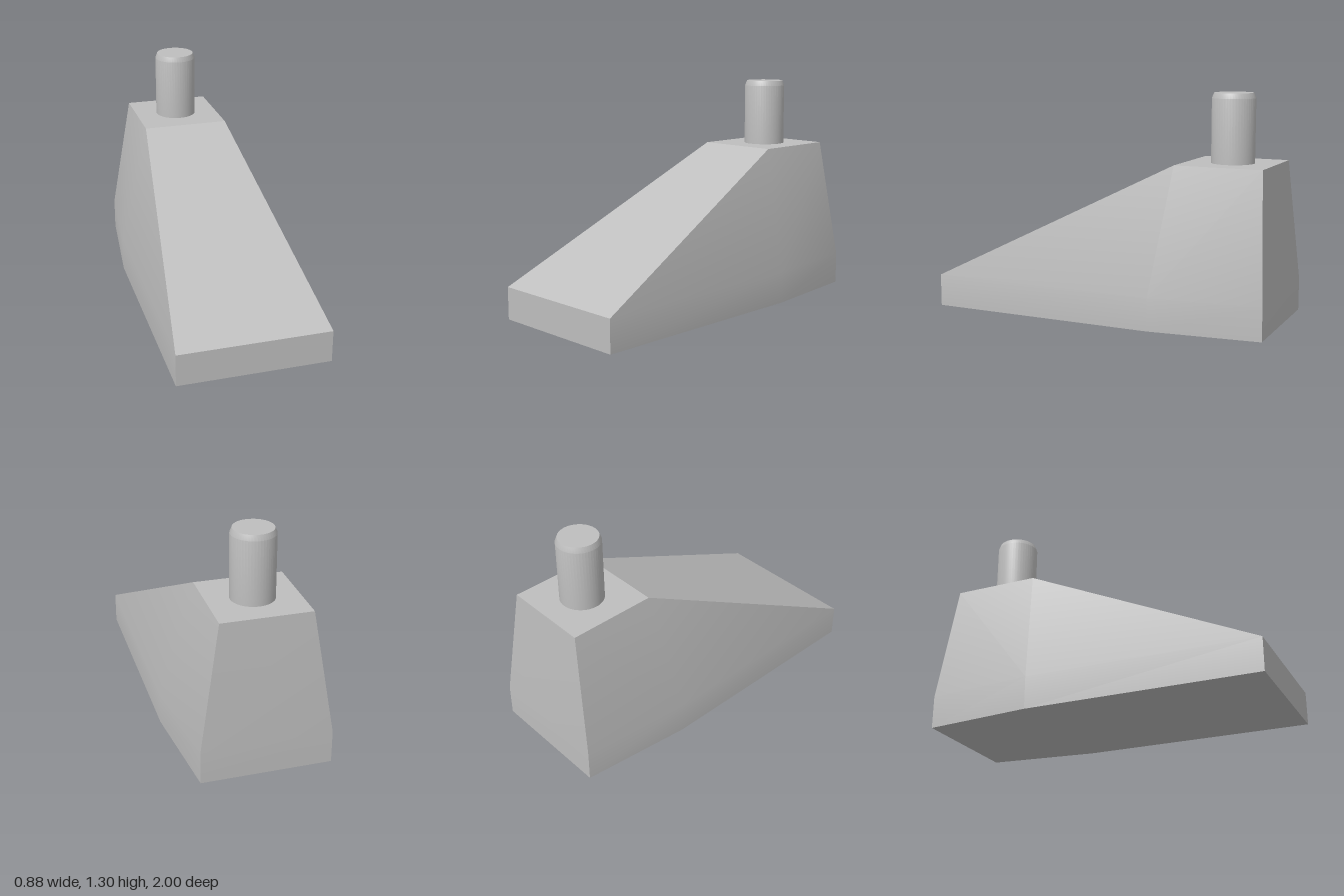
import * as THREE from 'three';
import { toCreasedNormals } from 'three/addons/utils/BufferGeometryUtils.js';

const CREASE = 0.4;

export function createModel() {
  const group = new THREE.Group();
  const grey = new THREE.MeshStandardMaterial({ color: 0xbebebe });
  grey.name = 'light grey';

  // Corners of the +x half: ground outline, shoulder outline, top plate
  const outline = [[0.44, 1], [0.44, -0.36], [0.37, -1]];
  const [f0, m0, b0] = outline.map(([x, z]) => [x, 0, z]);
  const [f1, m1, b1] = outline.map(([x, z]) => [x, 0.19, z]);
  const t1 = [0.255, 0.91, -0.44], t2 = [0.255, 0.91, -0.95];
  const mirror = ([x, y, z]) => [-x, y, z];

  const positions = [];
  const face = (...p) => {
    for (let i = 1; i < p.length - 1; i++) positions.push(...p[0], ...p[i], ...p[i + 1]);
  };

  // Side walls, mirrored with reversed winding
  const side = [[f0, m0, m1, f1], [m0, b0, b1, m1], [f1, m1, t1], [m1, t2, t1], [m1, b1, t2]];
  for (const p of side) {
    face(...p);
    face(...p.map(mirror).reverse());
  }

  // Faces spanning both halves: front, slope, top, upper back, lower back, underside
  for (const [a, b] of [[f0, f1], [f1, t1], [t1, t2], [t2, b1], [b1, b0], [b0, m0], [m0, f0]]) {
    face(mirror(a), a, b, mirror(b));
  }

  const bodyGeometry = new THREE.BufferGeometry();
  bodyGeometry.setAttribute('position', new THREE.Float32BufferAttribute(positions, 3));
  const body = new THREE.Mesh(toCreasedNormals(bodyGeometry, CREASE), grey);
  body.name = 'wedgeBody';
  group.add(body);

  // Round peg with a chamfered top
  const profile = [[0.124, 0.9], [0.124, 1.275], [0.112, 1.305], [0, 1.305]]
    .map(([r, y]) => new THREE.Vector2(r, y));
  const peg = new THREE.Mesh(toCreasedNormals(new THREE.LatheGeometry(profile, 48), CREASE), grey);
  peg.name = 'peg';
  peg.position.z = -0.698;
  group.add(peg);

  return group;
}
